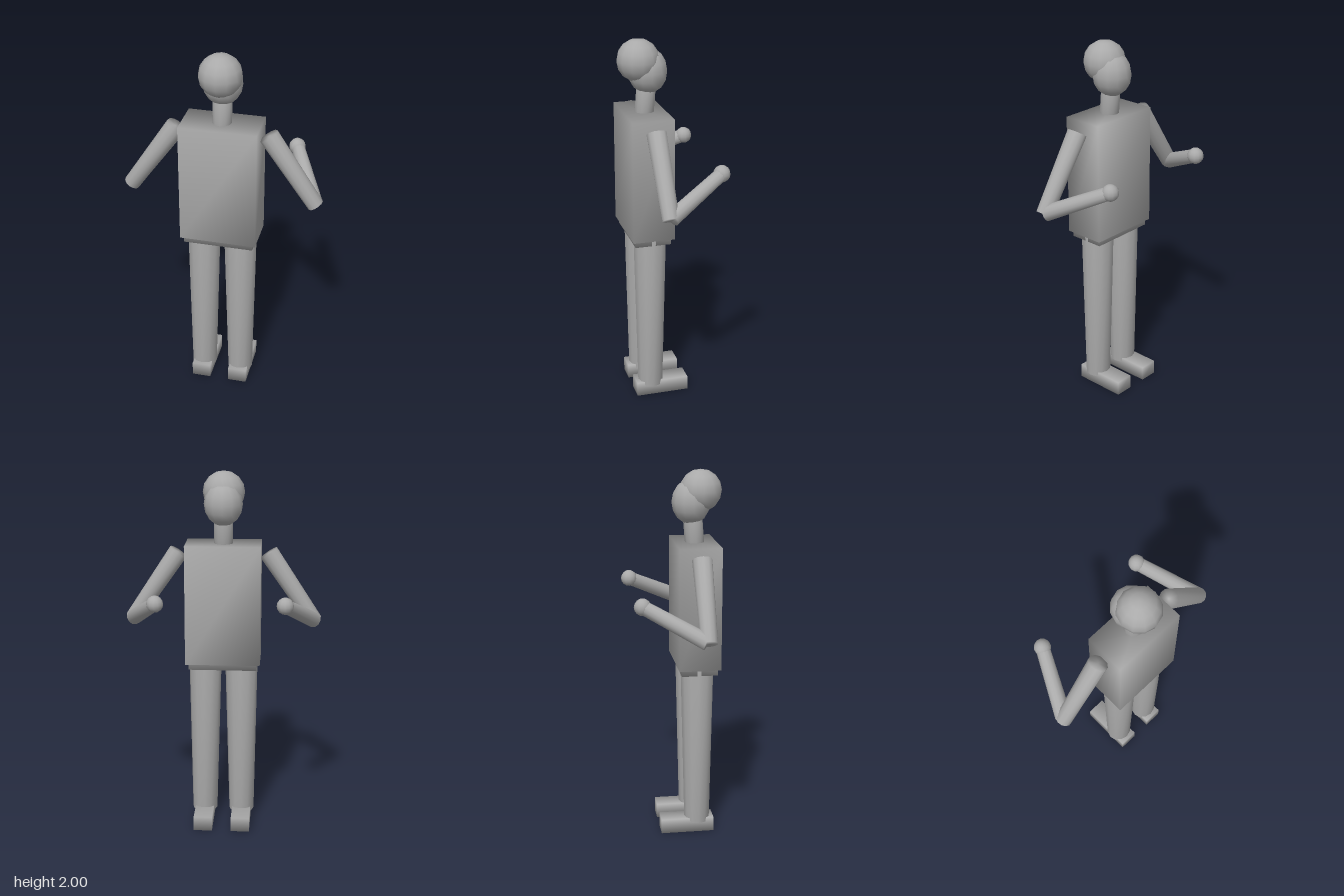
import * as THREE from 'three';
import { mergeVertices } from 'three/addons/utils/BufferGeometryUtils.js';

const grey = new THREE.MeshStandardMaterial({ color: 0xaaaaaa });
grey.name = 'plain grey';

// Weld all corners so that shading runs smoothly over the edges
function weld(geometry) {
  geometry.deleteAttribute('normal');
  geometry.deleteAttribute('uv');
  const welded = mergeVertices(geometry, 1e-4);
  welded.computeVertexNormals();
  return welded;
}

function add(group, name, geometry) {
  const mesh = new THREE.Mesh(geometry, grey);
  mesh.name = name;
  group.add(mesh);
  return mesh;
}

// Box given by its lowest and highest corners
function box(group, name, min, max) {
  const size = max.map((v, i) => v - min[i]);
  const mesh = add(group, name, weld(new THREE.BoxGeometry(...size)));
  mesh.position.set(...max.map((v, i) => (v + min[i]) / 2));
}

// Tapered cylinder between two points
function limb(group, name, from, to, r0, r1) {
  const a = new THREE.Vector3(...from);
  const b = new THREE.Vector3(...to);
  const mesh = add(group, name, weld(new THREE.CylinderGeometry(r1, r0, a.distanceTo(b), 12)));
  mesh.position.copy(a).lerp(b, 0.5);
  mesh.quaternion.setFromUnitVectors(new THREE.Vector3(0, 1, 0), b.sub(a).normalize());
}

function ball(group, name, centre, radii) {
  const geometry = new THREE.SphereGeometry(1, 12, 8).scale(...radii);
  add(group, name, weld(geometry)).position.set(...centre);
}

export function createModel() {
  const model = new THREE.Group();
  model.name = 'figure';

  // Trunk and head; the figure looks towards -z
  box(model, 'torso', [-0.205, 0.955, 0], [0.205, 1.615, 0.225]);
  box(model, 'pelvis', [-0.187, 0.922, 0.015], [0.187, 1.05, 0.21]);
  limb(model, 'neck', [0, 1.58, 0.112], [0, 1.77, 0.096], 0.052, 0.052);
  ball(model, 'face', [0, 1.83, 0.09], [0.105, 0.12, 0.105]);
  ball(model, 'hair', [0, 1.888, 0.14], [0.114, 0.112, 0.114]);

  for (const [side, s] of [['left', 1], ['right', -1]]) {
    // Leg and shoe
    limb(model, side + 'Leg', [s * 0.105, 0.057, 0.112], [s * 0.1, 1.0, 0.11], 0.07, 0.091);
    box(model, side + 'Shoe', [s * 0.105 - 0.052, 0, -0.092], [s * 0.105 + 0.052, 0.08, 0.2]);

    // Bent arm
    const elbow = [s * 0.5, 1.19, 0.107];
    const wrist = [s * 0.34, 1.352, -0.21];
    limb(model, side + 'UpperArm', [s * 0.245, 1.565, 0.11], elbow, 0.053, 0.044);
    limb(model, side + 'Forearm', [s * 0.493, 1.197, 0.1], wrist, 0.043, 0.037);
    ball(model, side + 'Hand', wrist, [0.045, 0.045, 0.045]);
  }
  return model;
}
